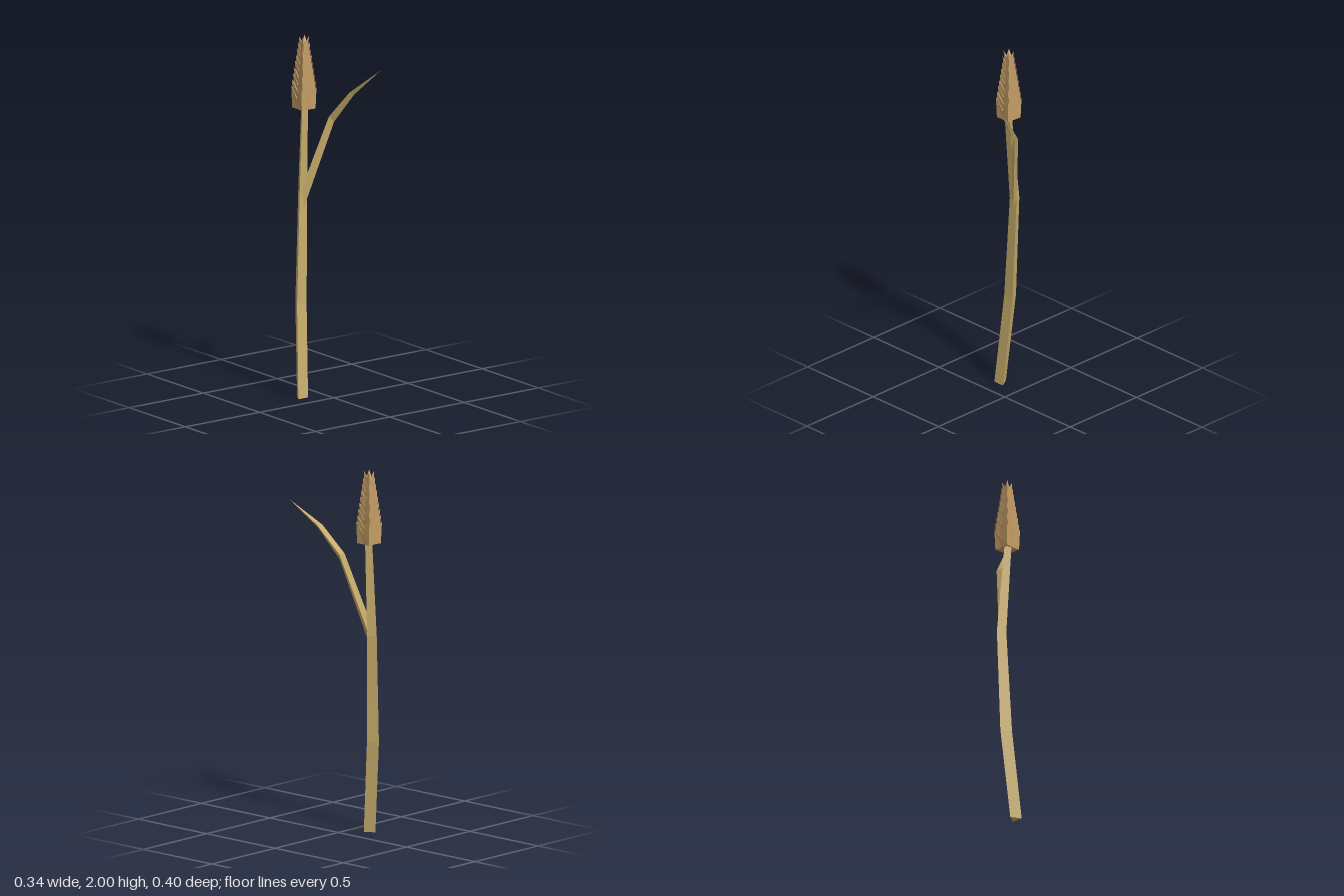
import * as THREE from 'three';

const V = (x, y, z) => new THREE.Vector3(x, y, z);

// Skin equal-length rings (counter-clockwise seen from the end) into a faceted solid.
function loft(rings) {
  const n = rings[0].length;
  const index = [];
  for (let i = 0; i < rings.length - 1; i++) {
    for (let j = 0; j < n; j++) {
      const a = i * n + j, b = i * n + (j + 1) % n;
      index.push(a, b, a + n, b, b + n, a + n);
    }
  }
  const indexed = new THREE.BufferGeometry().setFromPoints(rings.flat());
  indexed.setIndex(index);
  const geometry = indexed.toNonIndexed();
  geometry.computeVertexNormals();
  return geometry;
}

// Ring collapsed to one point, closing an end.
const point = (p, n) => Array(n).fill(p);

export function createModel() {
  const group = new THREE.Group();
  const straw = new THREE.MeshStandardMaterial({ color: 0xc8ae6c, flatShading: true, side: THREE.DoubleSide });
  const grain = new THREE.MeshStandardMaterial({ color: 0xc8a068, flatShading: true, side: THREE.DoubleSide });

  const add = (name, geometry, material, parent = group) => {
    const mesh = new THREE.Mesh(geometry, material);
    mesh.name = name;
    parent.add(mesh);
  };

  // Three-sided stem with a flat front and a ridge at the back
  const stemRing = (y, left, right, front, back) =>
    [V(left, y, front), V(right, y, front), V((left + right) / 2, y, back)];
  add('stem', loft([
    point(V(-0.137, 0, -0.11), 3),
    stemRing(0, -0.17, -0.105, -0.09, -0.145),
    stemRing(0.51, -0.143, -0.079, -0.137, -0.195),
    stemRing(1.1, -0.115, -0.064, -0.152, -0.199),
    stemRing(1.63, -0.122, -0.084, -0.118, -0.152),
    point(V(-0.103, 1.63, -0.13), 3),
  ]), straw);

  // Leaf blade with a keel underneath: left edge, keel, right edge
  add('leaf', loft([
    point(V(-0.085, 1.1, -0.153), 3),
    [V(-0.1, 1.15, -0.152), V(-0.087, 1.04, -0.15), V(-0.062, 1.13, -0.155)],
    [V(0.007, 1.55, -0.053), V(0.034, 1.52, -0.042), V(0.048, 1.55, -0.053)],
    [V(0.06, 1.7, 0.06), V(0.088, 1.685, 0.065), V(0.098, 1.705, 0.065)],
    point(V(0.168, 1.835, 0.197), 3),
  ]), straw);

  // Ear: overlapping square tiers whose corners rise into pointed husks
  const ear = new THREE.Group();
  ear.name = 'ear';
  ear.position.set(-0.102, 0, -0.131);
  group.add(ear);
  const tiers = 9;
  const tierRing = (half, y, dip, twist) => Array.from({ length: 8 }, (_, k) => {
    const corner = k % 2 === 1;
    const r = half * (corner ? Math.SQRT2 : 0.93);
    const a = k * Math.PI / 4 + twist;
    return V(r * Math.cos(a), corner ? y : y - dip, -r * Math.sin(a));
  });
  for (let i = 0; i < tiers; i++) {
    const t = i / (tiers - 1);
    const mix = (a, b) => THREE.MathUtils.lerp(a, b, t);
    const tip = mix(1.72, 2);
    const base = tip - mix(0.12, 0.1);
    const twist = i % 2 ? 0.04 : -0.04;
    add('huskTier', loft([
      point(V(0, base + 0.02, 0), 8),
      tierRing(mix(0.045, 0.018), base, 0, twist),
      tierRing(mix(0.049, 0.019), tip, mix(0.065, 0.035), twist),
      point(V(0, tip - mix(0.08, 0.05), 0), 8),
    ]), grain, ear);
  }
  return group;
}
